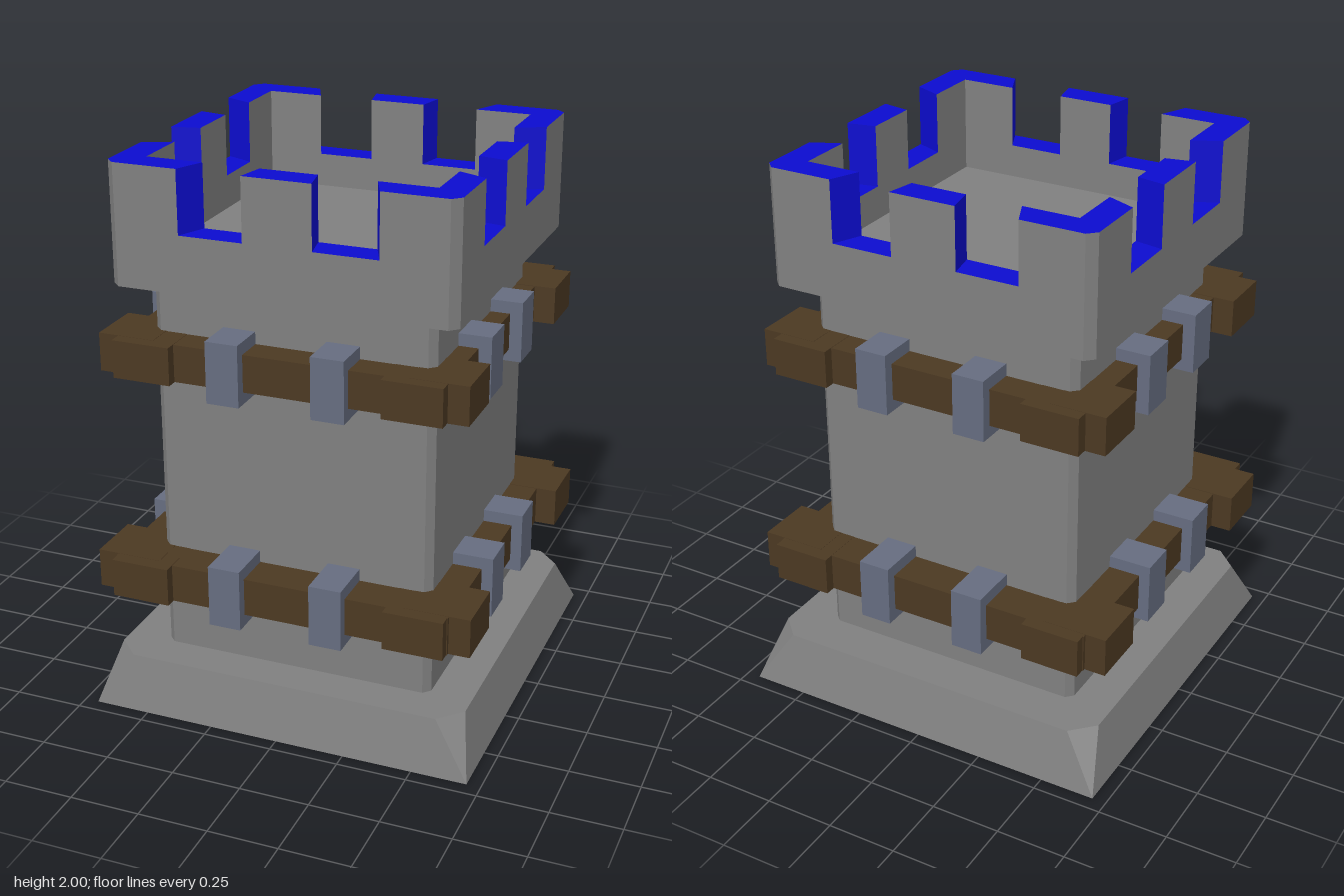
import * as THREE from 'three';

const mat = (name, color, side = THREE.DoubleSide) => {
  const m = new THREE.MeshStandardMaterial({ color, side, flatShading: true });
  m.name = name;
  return m;
};

// Collects quads and triangles (counter-clockwise corners) into one mesh
function facesMesh(name, polys, material) {
  const pos = [];
  for (const p of polys)
    for (let i = 1; i < p.length - 1; i++) pos.push(...p[0], ...p[i], ...p[i + 1]);
  const g = new THREE.BufferGeometry();
  g.setAttribute('position', new THREE.Float32BufferAttribute(pos, 3));
  g.computeVertexNormals();
  const m = new THREE.Mesh(g, material);
  m.name = name;
  return m;
}

// Square ring with cut corners: half size h, flat half length c, at height y
const ring = (h, c, y, dz) =>
  [[-c, h], [c, h], [h, c], [h, -c], [c, -h], [-c, -h], [-h, -c], [-h, c]].map(([x, z]) => [x, y, z + dz]);

// Walls joining a stack of rings
function loft(name, rings, material) {
  const polys = [];
  for (let r = 0; r < rings.length - 1; r++)
    for (let i = 0; i < 8; i++) {
      const j = (i + 1) % 8, a = rings[r], b = rings[r + 1];
      const sharp = a[i].every((v, k) => v === a[j][k]);
      polys.push(sharp ? [a[i], b[j], b[i]] : [a[i], a[j], b[j], b[i]]);
    }
  return facesMesh(name, polys, material);
}

// Box given by its limits on each axis
function box(name, x0, x1, y0, y1, z0, z1, material) {
  const m = new THREE.Mesh(new THREE.BoxGeometry(Math.abs(x1 - x0), y1 - y0, Math.abs(z1 - z0)), material);
  m.position.set((x0 + x1) / 2, (y0 + y1) / 2, (z0 + z1) / 2);
  m.name = name;
  return m;
}

// Wooden band with thick corner blocks and metal clamps
function band(name, d, wood, metal) {
  const g = new THREE.Group();
  g.name = name;
  g.position.set(-0.005, 0, 0.015);
  const inner = 0.45, { y0, y1, c0, c1 } = d;
  for (const s of [-1, 1]) {
    g.add(box('bandBeam', -d.barX, d.barX, y0, y1, s * inner, s * d.barZ, wood));
    g.add(box('bandBeam', s * inner, s * d.barX, y0, y1, -inner, inner, wood));
    for (const t of [-1, 1]) {
      g.add(box('cornerBlock', s * c0, s * c1, y0 - 0.001, y1 + 0.001, t * inner, t * d.outZ, wood));
      g.add(box('cornerBlock', s * inner, s * d.outX, y0 - 0.002, y1 + 0.002, t * (c0 + 0.02), t * (c1 + 0.02), wood));
      const cx = s * 0.185 + 0.005, cz = s * 0.178 + 0.025;
      g.add(box('clamp', cx - 0.058, cx + 0.058, y0 - 0.042, y1 + 0.044, t * 0.44, t * d.outZ, metal));
      g.add(box('clamp', t * 0.44, t * d.clampX, y0 - 0.042, y1 + 0.044, cz - 0.068, cz + 0.068, metal));
    }
  }
  return g;
}

// Crenellated parapet: stone faces with painted tops and notch sides
function parapet(stone, trim) {
  const g = new THREE.Group();
  g.name = 'parapet';
  const R = 0.602, C = 0.572, I = 0.5, bottom = 1.58, floor = 1.66;
  const outer = [-C, -0.345, -0.12, 0.12, 0.345, C];
  const inner = [-I, -0.3, -0.1, 0.1, 0.3, I];
  const tops = [2, 1.78, 2, 1.78, 2];
  const walls = [], paint = [];
  for (let i = 0; i < 5; i++) {
    const h = tops[i], a = outer[i], b = outer[i + 1], p = inner[i], q = inner[i + 1];
    walls.push([[a, bottom, R], [b, bottom, R], [b, h, R], [a, h, R]]);
    walls.push([[q, floor, I], [p, floor, I], [p, h, I], [q, h, I]]);
    paint.push([[a, h, R], [b, h, R], [q, h, I], [p, h, I]]);
    if (i < 4) {
      const side = [[b, 1.78, R], [q, 1.78, I], [q, 2, I], [b, 2, R]];
      paint.push(h > 1.9 ? side : side.reverse());
    }
  }
  // Cut corner
  walls.push([[C, bottom, R], [R, bottom, C], [R, 2, C], [C, 2, R]]);
  paint.push([[C, 2, R], [R, 2, C], [I, 2, I]]);
  for (let k = 0; k < 4; k++) {
    const side = new THREE.Group();
    side.name = 'parapetSide';
    side.rotation.y = k * Math.PI / 2;
    side.add(facesMesh('battlementWall', walls, stone), facesMesh('battlementTrim', paint, trim));
    g.add(side);
  }
  g.add(facesMesh('roofFloor', [[[-I, floor, I], [I, floor, I], [I, floor, -I], [-I, floor, -I]]], stone));
  g.position.z = 0.017;
  return g;
}

export function createModel() {
  const stone = mat('stone grey', 0x808080);
  const trim = mat('trim blue', 0x0c0cd0);
  const wood = mat('wood brown', 0x4c3922, THREE.FrontSide);
  const metal = mat('metal blue grey', 0x666d80, THREE.FrontSide);

  const model = new THREE.Group();
  model.name = 'tower';

  // Open-bottomed flared foot with its ledge, then the shaft and the overhang
  model.add(loft('base', [ring(0.7, 0.7, 0, 0), ring(0.65, 0.57, 0.2, 0.005), ring(0.5, 0.475, 0.2, 0.017)], stone));
  model.add(loft('shaft', [ring(0.5, 0.475, 0.2, 0.017), ring(0.5, 0.475, 1.58, 0.017)], stone));
  model.add(loft('overhang', [ring(0.5, 0.475, 1.58, 0.017), ring(0.602, 0.572, 1.58, 0.017)].reverse(), stone));
  model.add(parapet(stone, trim));

  model.add(band('lowerBand', {
    y0: 0.455, y1: 0.592, c0: 0.395, c1: 0.607,
    barX: 0.61, barZ: 0.64, outX: 0.685, outZ: 0.678, clampX: 0.65,
  }, wood, metal));
  model.add(band('upperBand', {
    y0: 1.27, y1: 1.402, c0: 0.372, c1: 0.58,
    barX: 0.575, barZ: 0.608, outX: 0.652, outZ: 0.646, clampX: 0.62,
  }, wood, metal));

  return model;
}
